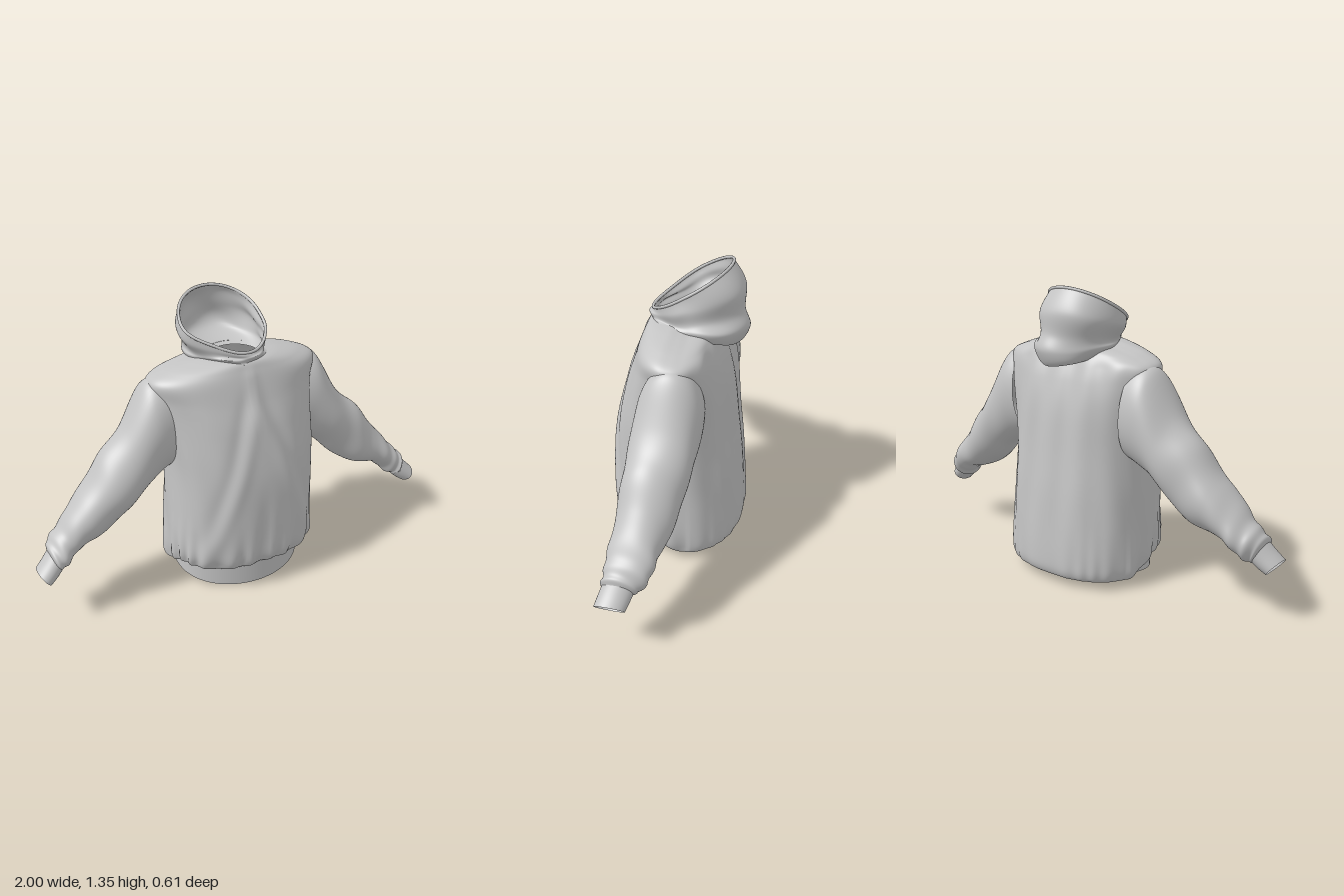
import * as THREE from 'three';

const { sin, cos, abs, sign, PI, exp } = Math;
const step = THREE.MathUtils.smoothstep;
const lerp = THREE.MathUtils.lerp;
const bump = (v, c, w) => exp(-(((v - c) / w) ** 2));

// Smooth (Catmull-Rom) interpolation of rows of section numbers, t = 0..1
function sample(rows, t) {
  const f = t * (rows.length - 1);
  const i = Math.min(Math.floor(f), rows.length - 2), u = f - i;
  const row = (k) => rows[Math.max(0, Math.min(rows.length - 1, k))];
  return rows[0].map((_, c) => {
    const a = row(i - 1)[c], b = row(i)[c], d = row(i + 1)[c], e = row(i + 2)[c];
    return 0.5 * (2 * b + (d - a) * u + (2 * a - 5 * b + 4 * d - e) * u * u + (3 * b - a - 3 * d + e) * u ** 3);
  });
}

// Tube-like surface from a point rule f(angle, t), with an optional cut-out test
function surface(f, nu, nv, cut = () => false) {
  const pts = [], idx = [];
  for (let j = 0; j <= nv; j++)
    for (let i = 0; i < nu; i++) pts.push(f((i / nu) * 2 * PI, j / nv));
  for (let j = 0; j < nv; j++)
    for (let i = 0; i < nu; i++) {
      const k = (i + 1) % nu, a = j * nu + i, b = j * nu + k, c = b + nu, d = a + nu;
      if (!cut(...pts[a])) idx.push(a, b, c, a, c, d);
    }
  const g = new THREE.BufferGeometry();
  g.setAttribute('position', new THREE.Float32BufferAttribute(pts.flat(), 3));
  g.setIndex(idx);
  g.computeVertexNormals();
  return g;
}

// Body rows: front y, back y, half width, front z, back z
const BODY = [
  [0.14, 0.11, 0.31, 0.24, -0.23],
  [0.112, 0.04, 0.335, 0.262, -0.265],
  [0.135, 0.06, 0.352, 0.285, -0.298],
  [0.21, 0.15, 0.358, 0.303, -0.303],
  [0.4, 0.4, 0.35, 0.302, -0.285],
  [0.6, 0.6, 0.347, 0.285, -0.262],
  [0.8, 0.8, 0.36, 0.24, -0.238],
  [0.93, 0.93, 0.385, 0.198, -0.208],
  [1.015, 1.01, 0.405, 0.17, -0.178],
  [1.06, 1.05, 0.33, 0.153, -0.16],
  [1.088, 1.075, 0.22, 0.14, -0.145],
  [1.1, 1.085, 0.13, 0.122, -0.115],
];

function bodyPoint(a, t) {
  const [yf, yb, hw, zf, zb] = sample(BODY, t);
  const s = sin(a), c = cos(a), p = 2 / 2.4;
  const x = hw * sign(s) * abs(s) ** p;
  const y = lerp(yb, yf, step(c, -0.25, 0.3));
  // Shoulders sit slightly behind the middle
  const z = (c > 0 ? zf : -zb) * sign(c) * abs(c) ** p - 0.03 * s * s * step(y, 0.65, 1);
  // Gathers above the hem
  let d = 0.009 * bump(t, 0.2, 0.09) * sin(a * 23 + 2 * sin(a * 5)) * (c > -0.3 ? 1 : 0.3);
  const fade = step(y, 0.12, 0.3) * (1 - step(y, 0.85, 1.05));
  if (c > 0) {
    // Spreading diagonal folds and the middle crease
    const edge = abs(x) - (0.05 + (0.85 - y) * 0.36);
    d += fade * c * (0.009 * bump(edge, -0.025, 0.04) - 0.009 * bump(edge, 0.025, 0.04));
    d -= 0.012 * bump(x, 0, 0.03) * (1 - step(y, 0.15, 0.6));
    d += 0.008 * bump(x, 0, 0.02 + (1.1 - y) * 0.06) * step(y, 0.6, 0.9) * (1 - step(y, 1.03, 1.1));
  } else {
    // Long hanging folds down the back
    d += -c * 0.007 * step(y, 0.1, 0.5) * (1 - step(y, 1.0, 1.08)) * cos(x * 42 * (0.7 + 0.3 * y));
  }
  d += 0.005 * abs(s) * fade * sin(a * 9 + y * 7);
  return [x + s * d + 0.012 * (1 - step(y, 0.6, 1)), y, z + c * d];
}

// Armholes, hidden under the sleeve tops
const armhole = (x, y, z) => abs(x) > 0.25 && ((y - 0.8) / 0.18) ** 2 + ((z + 0.035) / 0.105) ** 2 < 1;

// Sleeve rows: upper x, upper y, lower x, lower y, middle z, half depth
const SLEEVE = [
  [0.335, 1.025, 0.305, 0.6, -0.04, 0.135],
  [0.425, 1.0, 0.37, 0.575, -0.038, 0.145],
  [0.54, 0.81, 0.47, 0.515, -0.028, 0.142],
  [0.655, 0.69, 0.58, 0.405, -0.015, 0.132],
  [0.75, 0.57, 0.69, 0.355, -0.002, 0.117],
  [0.86, 0.44, 0.8, 0.315, 0.008, 0.102],
  [0.925, 0.37, 0.87, 0.255, 0.03, 0.088],
  [0.94, 0.325, 0.895, 0.25, 0.045, 0.066],
];
const CUFF = [
  [0.925, 0.35, 0.875, 0.26, 0.04, 0.068],
  [0.962, 0.308, 0.912, 0.225, 0.053, 0.067],
  [1.0, 0.27, 0.945, 0.202, 0.064, 0.065],
];

function sleevePoint(rows, side, folds) {
  return (a, t) => {
    const [ux, uy, lx, ly, zc, hz] = sample(rows, t);
    // Slanting wrinkles, deeper towards elbow and wrist
    const w = folds * (
      0.035 * step(t, 0.2, 0.45) * sin(t * 26 + 1.6 * sin(a + side) + side) +
      0.05 * step(t, 0.55, 0.85) * sin(t * 56 + 2 * cos(a - side * 0.7)) +
      0.03 * step(t, 0.1, 0.3) * sin(a * 3 + t * 14 * side));
    const k = 0.5 * cos(a) * (1 + w);
    return [
      side * (lerp(lx, ux, 0.5) + (ux - lx) * k),
      lerp(ly, uy, 0.5) + (uy - ly) * k,
      zc + side * sin(a) * hz * (1 + w),
    ];
  };
}

// Hood rows: front y, back y, middle x, half width, front z, back z, sag
const HOOD = [
  [1.085, 1.09, 0, 0.13, 0.115, -0.13, 1],
  [1.08, 1.035, 0, 0.152, 0.13, -0.19, 1.9],
  [1.083, 1.0, -0.005, 0.172, 0.14, -0.258, 2.2],
  [1.1, 1.065, -0.012, 0.182, 0.147, -0.295, 1.7],
  [1.112, 1.135, -0.025, 0.178, 0.144, -0.268, 1.1],
  [1.122, 1.24, -0.04, 0.192, 0.142, -0.272, 1],
  [1.135, 1.34, -0.045, 0.188, 0.132, -0.208, 1],
];
const LINING = [
  [1.135, 1.34, -0.045, 0.188, 0.132, -0.208, 1],
  [1.122, 1.3, -0.045, 0.18, 0.125, -0.23, 1],
  [1.112, 1.22, -0.036, 0.178, 0.13, -0.255, 1],
  [1.1, 1.13, -0.02, 0.16, 0.13, -0.24, 1],
  [1.075, 1.08, 0, 0.115, 0.118, -0.105, 1],
];

function hoodPoint(rows, folds) {
  return (a, t) => {
    const [yf, yb, cx, hw, zf, zb, sag] = sample(rows, t);
    const s = sin(a), c = cos(a);
    const d = folds * sin(t * PI) * (sin(a * 5 + t * 9) + 0.7 * sin(a * 2 - t * 17));
    const y = lerp(yf, yb, ((1 - c) / 2) ** sag);
    // The opening narrows to a point at the throat
    const narrow = 1 - 0.2 * step(c, 0.2, 1);
    return [cx * (1 - step(c, 0, 1)) + s * (hw * narrow + d), y + d * 0.5, lerp(zb, zf, (1 + c) / 2) + c * d];
  };
}

export function createModel() {
  const group = new THREE.Group();
  const cloth = new THREE.MeshStandardMaterial({ color: 0xc4c4c4, side: THREE.DoubleSide });
  cloth.name = 'grey cloth';
  const add = (name, geometry) => {
    const mesh = new THREE.Mesh(geometry, cloth);
    mesh.name = name;
    group.add(mesh);
  };

  add('body', surface(bodyPoint, 180, 110, armhole));

  // Waistband hangs lowest at the front and tucks up behind
  add('waistband', surface((a, t) => [
    0.312 * sin(a),
    lerp(0.042 * (1 - cos(a)), 0.15, t),
    (cos(a) > 0 ? 0.256 : 0.235) * sign(cos(a)) * abs(cos(a)) ** 0.9,
  ], 96, 6));

  // Sleeves and cuffs
  for (const [side, label] of [[1, 'left'], [-1, 'right']]) {
    add(label + 'Sleeve', surface(sleevePoint(SLEEVE, side, 1), 56, 110));
    add(label + 'Cuff', surface(sleevePoint(CUFF, side, 0), 40, 8));
  }

  // Open hood with lining and a rolled rim
  const outer = hoodPoint(HOOD, 0.006);
  add('hood', surface(outer, 96, 60));
  add('hoodLining', surface(hoodPoint(LINING, 0.004), 96, 30));
  const rim = [];
  for (let i = 0; i < 32; i++) rim.push(new THREE.Vector3(...outer((i / 32) * 2 * PI, 1)));
  add('hoodRim', new THREE.TubeGeometry(new THREE.CatmullRomCurve3(rim, true), 96, 0.007, 8, true));

  return group;
}
